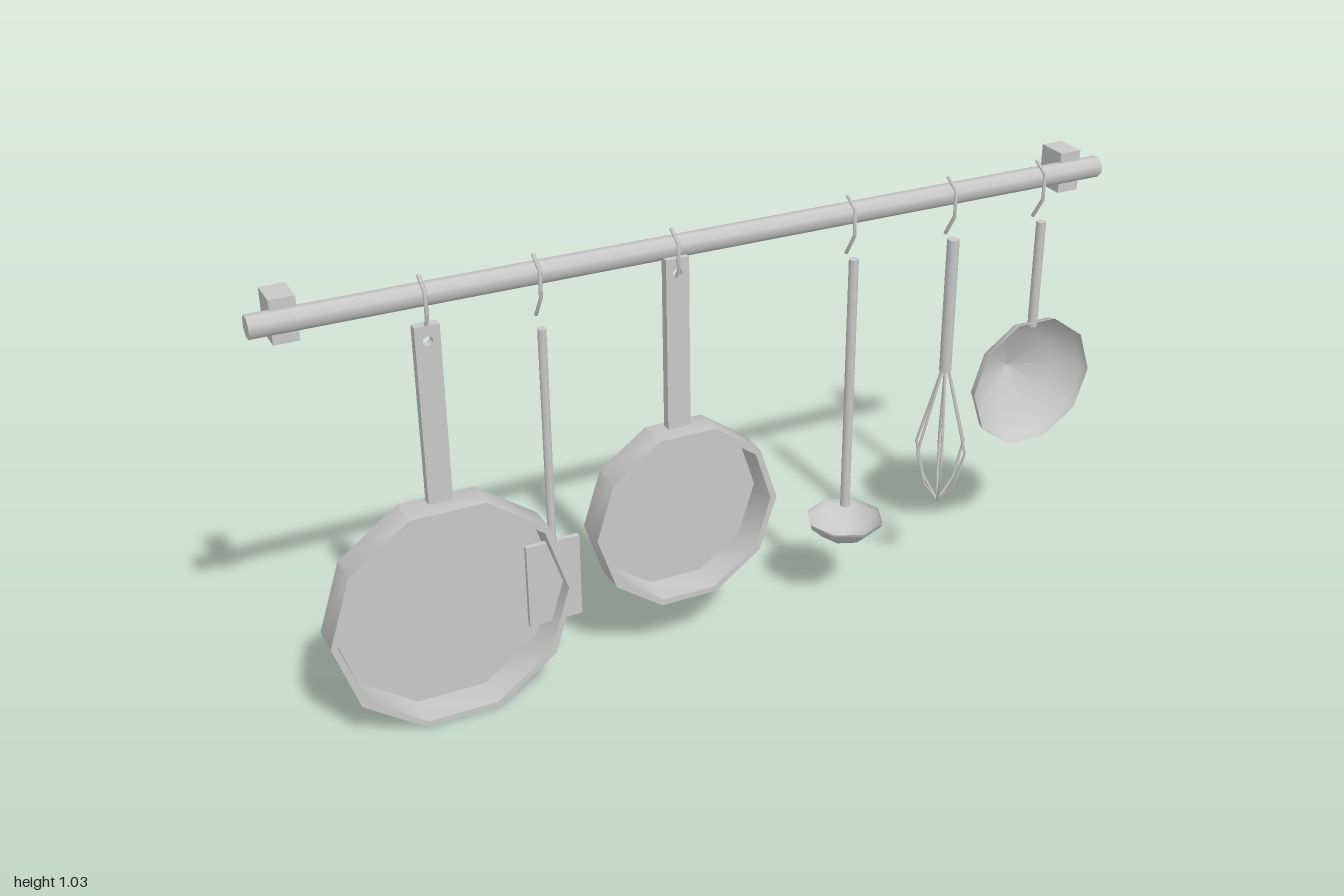
import * as THREE from 'three';
import { toCreasedNormals } from 'three/addons/utils/BufferGeometryUtils.js';

// Straight-segment path, so tubes bend only at the given points
class Polyline extends THREE.Curve {
  constructor(points) { super(); this.points = points; }
  getPoint(t, target = new THREE.Vector3()) {
    const n = this.points.length - 1;
    const f = Math.min(Math.max(t, 0), 1) * n;
    const i = Math.min(Math.floor(f), n - 1);
    return target.lerpVectors(this.points[i], this.points[i + 1], f - i);
  }
  getUtoTmapping(u) { return u; }
}

export function createModel() {
  const model = new THREE.Group();
  const steel = new THREE.MeshStandardMaterial({ color: 0xc8c8c8, side: THREE.DoubleSide });
  steel.name = 'steel';

  const add = (name, geometry, x, y, z, parent = model) => {
    const mesh = new THREE.Mesh(geometry, steel);
    mesh.name = name;
    mesh.position.set(x, y, z);
    parent.add(mesh);
    return mesh;
  };
  const group = (name) => {
    const g = new THREE.Group();
    g.name = name;
    model.add(g);
    return g;
  };
  const lathe = (profile, sides) =>
    new THREE.LatheGeometry(profile.map(([r, h]) => new THREE.Vector2(r, h)), sides, Math.PI / 2);
  const tube = (points, radius, sides) =>
    new THREE.TubeGeometry(new Polyline(points), points.length - 1, radius, sides);
  const stick = (name, x, bottom, top, radius, parent) =>
    add(name, new THREE.CylinderGeometry(radius, radius, top - bottom, 8), x, (top + bottom) / 2, 0.01, parent);

  // Rail
  const rail = new THREE.CylinderGeometry(0.025, 0.025, 2, 8);
  rail.rotateY(Math.PI / 8).rotateZ(Math.PI / 2);
  add('rail', rail, 0, 0.99, -0.026);

  // Wall brackets, open at the back
  for (const side of [-1, 1]) {
    const box = new THREE.BoxGeometry(0.054, 0.096, 0.073);
    box.setIndex(Array.from(box.index.array).slice(0, 30));
    box.clearGroups();
    add('wallBracket', box, side * 0.925, 0.988, -0.0635);
  }

  // Hooks
  const hookPath = [[1.031, -0.026], [1.008, 0.009], [0.948, 0.009], [0.897, -0.024]];
  const hook = tube(hookPath.map(([y, z]) => new THREE.Vector3(0, y, z)), 0.0045, 6);
  for (const x of [-0.651, -0.408, -0.097, 0.33, 0.59, 0.83]) add('hook', hook, x, 0, 0);

  // Pans: shallow dish with bevelled back, flat handle with a hanging hole
  const pan = (name, x, y, r, handleTop) => {
    const g = group(name);
    const dish = lathe([
      [0, -0.045], [r - 0.024, -0.045], [r, -0.028], [r, 0.048],
      [r - 0.015, 0.048], [r - 0.018, -0.028], [0, -0.028],
    ], 10);
    dish.rotateX(Math.PI / 2);
    add('panDish', toCreasedNormals(dish, 1.0), x, y, 0, g);

    const bottom = y + r * 0.951 - 0.008;
    const w = 0.027;
    const shape = new THREE.Shape([
      new THREE.Vector2(-w, bottom), new THREE.Vector2(w, bottom),
      new THREE.Vector2(w, handleTop), new THREE.Vector2(-w, handleTop),
    ]);
    const hole = new THREE.Path();
    hole.absarc(0, handleTop - 0.034, 0.011, 0, Math.PI * 2, true);
    shape.holes.push(hole);
    const handle = new THREE.ExtrudeGeometry(shape, { depth: 0.022, bevelEnabled: false, curveSegments: 8 });
    add('panHandle', handle, x, 0, -0.018, g);
  };
  pan('largePan', -0.651, 0.264, 0.276, 0.933);
  pan('smallPan', -0.097, 0.363, 0.222, 0.974);

  // Turner
  const turner = group('turner');
  stick('turnerHandle', -0.41, 0.36, 0.88, 0.01, turner);
  add('turnerBlade', new THREE.BoxGeometry(0.125, 0.203, 0.012), -0.411, 0.269, 0.01, turner);

  // Rounded bowl shared by ladle and strainer, scaled by its rim radius
  const bowl = (r, sides) => lathe([[0, 0], [0.65, 0.224], [0.97, 0.527], [1, 0.654]]
    .map(([a, b]) => [a * r, b * r]), sides);

  // Ladle
  const ladle = group('ladle');
  stick('ladleHandle', 0.33, 0.267, 0.895, 0.0115, ladle);
  add('ladleBowl', bowl(0.092, 8), 0.33, 0.175, 0.011, ladle);

  // Whisk: three loops made of six bent wires
  const whisk = group('whisk');
  stick('whiskHandle', 0.59, 0.563, 0.895, 0.0145, whisk);
  const wirePath = [[0.008, 0.568], [0.065, 0.36], [0.042, 0.27], [0, 0.213]];
  const wire = tube(wirePath.map(([r, y]) => new THREE.Vector3(r, y, 0)), 0.0035, 5);
  for (let i = 0; i < 6; i++) {
    add('whiskWire', wire, 0.59, 0, 0.011, whisk).rotation.y = i * Math.PI / 3;
  }

  // Strainer
  const strainer = group('strainer');
  stick('strainerHandle', 0.83, 0.63, 0.895, 0.0115, strainer);
  const strainerBowl = bowl(0.165, 10);
  strainerBowl.rotateX(Math.PI / 2);
  add('strainerBowl', strainerBowl, 0.83, 0.488, -0.08, strainer);

  return model;
}
